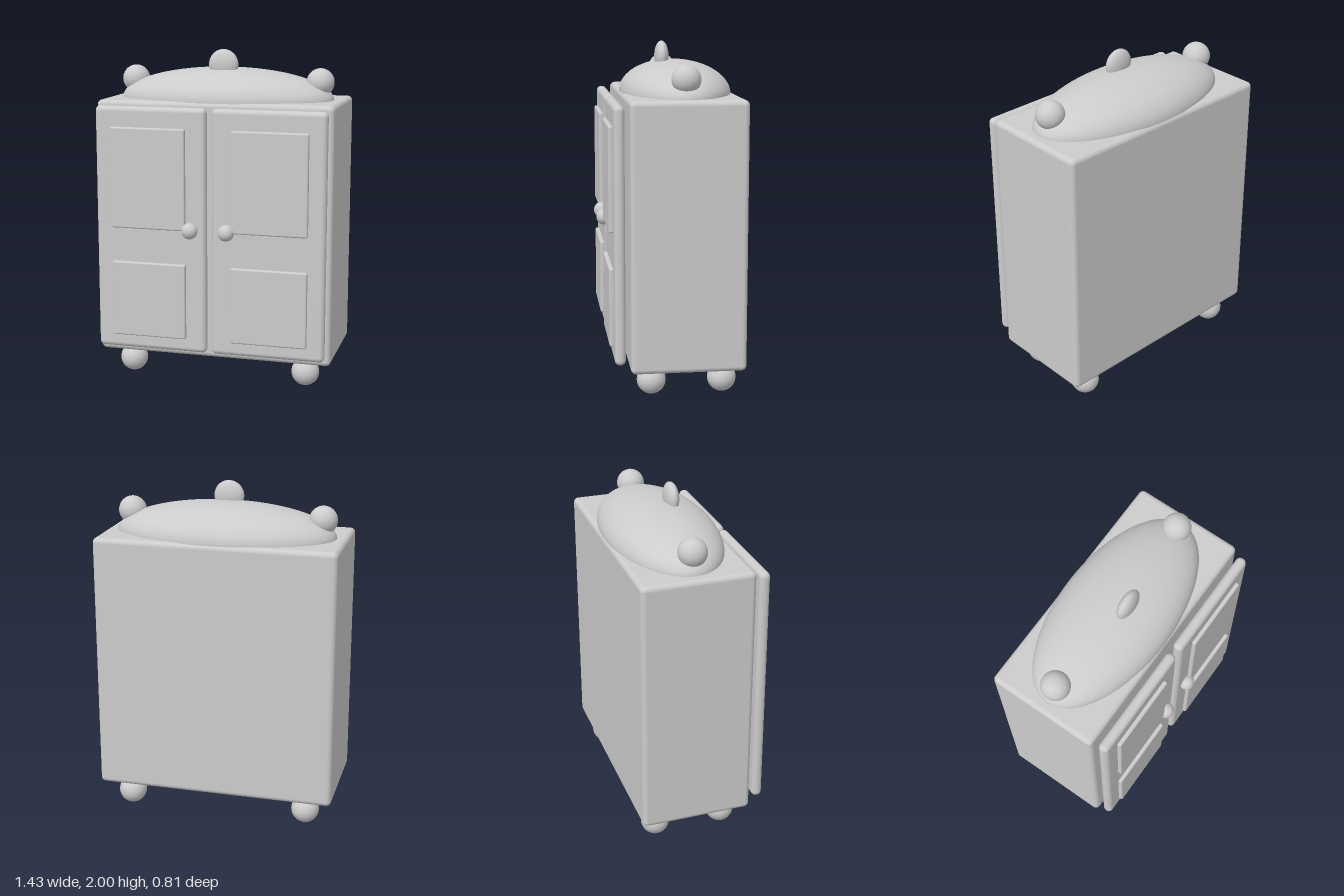
import * as THREE from 'three';
import { RoundedBoxGeometry } from 'three/addons/geometries/RoundedBoxGeometry.js';

export function createModel() {
  const group = new THREE.Group();
  group.name = 'wardrobe';
  const paint = new THREE.MeshStandardMaterial({ color: 0xcccccc });
  paint.name = 'light grey';

  const add = (name, geometry, x, y, z, parent = group) => {
    const mesh = new THREE.Mesh(geometry, paint);
    mesh.name = name;
    mesh.position.set(x, y, z);
    parent.add(mesh);
    return mesh;
  };
  // Rounded box given by its lower and upper corners
  const box = (name, [x0, y0, z0], [x1, y1, z1], radius, parent) =>
    add(name, new RoundedBoxGeometry(x1 - x0, y1 - y0, z1 - z0, 5, radius),
      (x0 + x1) / 2, (y0 + y1) / 2, (z0 + z1) / 2, parent);
  const ball = (name, rx, ry, rz, x, y, z, parent) =>
    add(name, new THREE.SphereGeometry(1, 32, 20).scale(rx, ry, rz), x, y, z, parent);

  // Cabinet body
  box('body', [-0.715, 0.165, -0.405], [0.715, 1.705, 0.255], 0.03);

  // Oval domed top, with a short skirt sunk into the body
  const dome = new THREE.SphereGeometry(1, 64, 24, 0, Math.PI * 2, 0, Math.PI / 2);
  add('domedTop', dome.scale(0.655, 0.19, 0.325), 0, 1.7, -0.075);
  ball('centreFinial', 0.09, 0.09, 0.042, 0, 1.91, 0);

  for (const side of [-1, 1]) {
    const label = side > 0 ? 'left' : 'right';
    ball(label + 'Finial', 0.083, 0.083, 0.083, side * 0.573, 1.81, -0.07);

    // Ball feet
    ball(label + 'FrontFoot', 0.084, 0.084, 0.084, side * 0.545, 0.086, 0.125);
    ball(label + 'BackFoot', 0.084, 0.084, 0.084, side * 0.545, 0.086, -0.285);

    // Door with two raised panels and a knob, centred on its own middle
    const door = new THREE.Group();
    door.name = label + 'Door';
    door.position.x = side * 0.355;
    group.add(door);
    box('doorSlab', [-0.338, 0.215, 0.282], [0.338, 1.68, 0.344], 0.029, door);
    const px = side * 0.01;
    box('upperPanel', [px - 0.227, 0.96, 0.325], [px + 0.227, 1.56, 0.367], 0.01, door);
    box('lowerPanel', [px - 0.227, 0.3, 0.325], [px + 0.227, 0.755, 0.367], 0.01, door);
    ball('knob', 0.048, 0.048, 0.045, side * -0.245, 0.963, 0.36, door);
  }

  return group;
}
